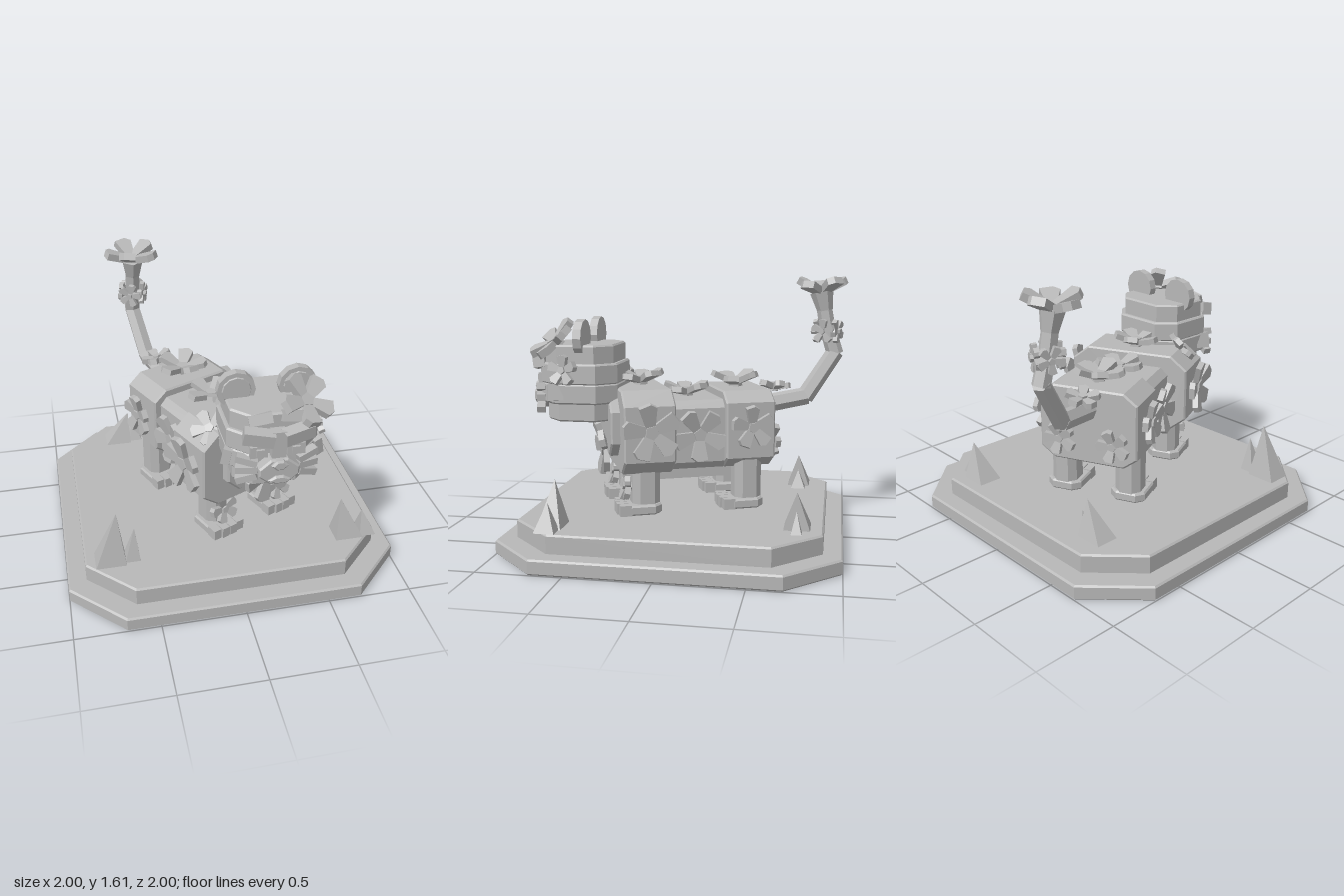
import * as THREE from 'three';

const stone = new THREE.MeshStandardMaterial({ color: 0xb8b8b8 });
stone.name = 'stone';

function add(parent, name, geo, pos = [0, 0, 0], rot = [0, 0, 0]) {
  const g = geo.index ? geo.toNonIndexed() : geo;
  g.computeVertexNormals(); // flat facets
  const m = new THREE.Mesh(g, stone);
  m.name = name;
  m.position.set(...pos);
  m.rotation.set(...rot);
  parent.add(m);
  return m;
}
const box = (w, h, d) => new THREE.BoxGeometry(w, h, d);

// Rectangle with cut corners, extruded along z and centred
function prism(w, h, cx, cy, depth, bevel = 0.01) {
  const a = w / 2 - bevel, b = h / 2 - bevel;
  const s = new THREE.Shape([[a, -b + cy], [a, b - cy], [a - cx, b], [-a + cx, b], [-a, b - cy],
    [-a, -b + cy], [-a + cx, -b], [a - cx, -b]].map(p => new THREE.Vector2(...p)));
  const g = new THREE.ExtrudeGeometry(s, { depth: depth - 2 * bevel, bevelEnabled: true,
    bevelSize: bevel, bevelThickness: bevel, bevelSegments: 1 });
  return g.translate(0, 0, bevel - depth / 2);
}
// The same, standing between two heights
const slab = (w, d, c, y0, y1, bevel = 0.01) =>
  prism(w, d, c, c, y1 - y0, bevel).rotateX(-Math.PI / 2).translate(0, (y0 + y1) / 2, 0);

// Five raised wedge petals around a pentagonal heart, facing a normal
function flower(parent, name, pos, normal, r, spin = 0, tilt = 0.22, thick = 0.035) {
  const f = new THREE.Group();
  f.name = name;
  f.position.set(...pos);
  f.quaternion.setFromUnitVectors(new THREE.Vector3(0, 0, 1), new THREE.Vector3(...normal).normalize());
  parent.add(f);
  const s = new THREE.Shape([[-0.15, 0.2], [0.15, 0.2], [0.31, 0.85], [0.12, 1], [-0.27, 0.93]]
    .map(([x, y]) => new THREE.Vector2(x * r, y * r)));
  for (let i = 0; i < 5; i++) {
    const p = new THREE.Group();
    p.rotation.z = spin + i * Math.PI * 0.4;
    f.add(p);
    add(p, 'petal', new THREE.ExtrudeGeometry(s, { depth: thick, bevelEnabled: false }),
      [0, 0, -0.01], [tilt * (i % 2 ? 0.8 : 1.2), 0, 0]);
  }
  add(f, 'flowerHeart', new THREE.CylinderGeometry(r * 0.24, r * 0.28, thick + 0.02, 5).rotateX(Math.PI / 2),
    [0, 0, 0.015], [0, 0, spin]);
  return f;
}

// Straight bar between two points
function bar(parent, name, a, b, r0, r1) {
  const A = new THREE.Vector3(...a), B = new THREE.Vector3(...b), d = B.clone().sub(A);
  const m = add(parent, name, new THREE.CylinderGeometry(r1, r0, d.length() + 0.02, 6));
  m.position.copy(A).add(B).multiplyScalar(0.5);
  m.quaternion.setFromUnitVectors(new THREE.Vector3(0, 1, 0), d.normalize());
}

// Four-sided spike with a leaning tip
function spike(parent, x, z, w, d, h, lean) {
  const g = new THREE.ConeGeometry(Math.SQRT1_2, h, 4).rotateY(Math.PI / 4).scale(w, 1, d);
  const p = g.attributes.position;
  for (let i = 0; i < p.count; i++) p.setX(i, p.getX(i) + lean * (p.getY(i) / h + 0.5));
  add(parent, 'spike', g, [x, 0.2 + h / 2, z]);
}

function buildBase(root) {
  add(root, 'lowerPlinth', slab(2, 2, 0.3, 0, 0.09));
  add(root, 'upperPlinth', slab(1.78, 1.78, 0.26, 0.08, 0.2));
  [[-0.74, 0.6, 0.18, 0.15, 0.33, 0.05], [-0.61, 0.6, 0.09, 0.1, 0.21, 0.02],
    [0.71, 0.64, 0.17, 0.14, 0.26, -0.05], [0.83, 0.64, 0.1, 0.12, 0.16, -0.03],
    [0.49, -0.74, 0.17, 0.15, 0.22, 0.08], [0.62, -0.74, 0.07, 0.06, 0.12, -0.02],
    [-0.55, -0.7, 0.17, 0.14, 0.21, 0.08], [-0.43, -0.7, 0.09, 0.09, 0.12, 0]]
    .forEach(s => spike(root, ...s));
}

function buildBody(root) {
  const body = new THREE.Group();
  body.name = 'body';
  body.rotation.y = 0.42;
  root.add(body);
  add(body, 'hips', prism(0.62, 0.47, 0.08, 0.06, 0.31), [0, 0.685, -0.34]);
  add(body, 'shoulders', prism(0.78, 0.5, 0.1, 0.08, 0.31), [0, 0.7, 0.3]);
  add(body, 'torso', prism(0.53, 0.42, 0.04, 0.04, 0.5), [0, 0.66, 0]);
  add(body, 'belly', box(0.34, 0.1, 0.5), [0, 0.43, 0]);
  add(body, 'chest', prism(0.5, 0.36, 0.08, 0.08, 0.1), [0, 0.72, 0.46]);
  // Legs, paws and toes
  for (const sx of [-1, 1]) for (const z of [-0.34, 0.3]) {
    const leg = new THREE.Group();
    leg.name = z > 0 ? 'frontLeg' : 'hindLeg';
    leg.position.set(sx * 0.21, 0, z);
    body.add(leg);
    add(leg, 'shin', slab(0.16, 0.17, 0.035, 0.24, 0.55));
    add(leg, 'paw', slab(0.22, 0.24, 0.04, 0.2, 0.26), [0, 0, 0.03]);
    for (let i = -1.5; i < 2; i++)
      add(leg, 'toe', box(0.05, 0.065, 0.07), [i * 0.056, 0.2325, 0.15 - Math.abs(i) * 0.01]);
    if (z > 0) flower(leg, 'legFlower', [0, 0.36, 0.095], [0, 0.15, 1], 0.1, 0.3);
  }
  // Flowers over back, flanks, chest and rump
  flower(body, 'hipTopFlower', [0, 0.93, -0.33], [0, 1, 0], 0.17, 0.5, 0.35);
  flower(body, 'spineFlower', [0, 0.88, -0.01], [0, 1, 0], 0.16, 0.2, 0.3);
  flower(body, 'shoulderTopFlower', [0, 0.96, 0.28], [0, 1, 0], 0.16, 0.1, 0.35);
  for (const s of [-1, 1]) {
    flower(body, 'shoulderSideFlower', [s * 0.4, 0.72, 0.3], [s, 0, 0], 0.18, 0.2, 0.2);
    flower(body, 'flankFlower', [s * 0.275, 0.67, -0.02], [s, 0, 0], 0.17, 0.6, 0.2);
    flower(body, 'hipSideFlower', [s * 0.32, 0.71, -0.34], [s, 0, 0], 0.14, 0.1, 0.2);
    flower(body, 'rumpFlower', [s * 0.17, 0.6, -0.505], [0, 0, -1], 0.11, 0.4);
  }
  flower(body, 'chestFlower', [0.04, 0.57, 0.5], [0, -0.1, 1], 0.18, 0.3, 0.2);
  flower(body, 'neckFlower', [-0.27, 0.93, 0.36], [-0.6, 0.7, 0.4], 0.12, 0.3);
}

function buildTail(root) {
  const tail = new THREE.Group();
  tail.name = 'tail';
  root.add(tail);
  const pts = [[-0.2, 0.79, -0.45], [-0.31, 0.84, -0.74], [-0.375, 1.12, -0.92],
    [-0.37, 1.28, -0.87], [-0.37, 1.5, -0.83]];
  for (let i = 0; i < 4; i++) bar(tail, 'tailSegment', pts[i], pts[i + 1], 0.06 - i * 0.003, 0.057 - i * 0.003);
  flower(tail, 'tailBaseFlower', [-0.26, 0.89, -0.54], [-0.2, 1, -0.1], 0.11, 0.4);
  // Band of small flowers around the tail
  for (let i = 0; i < 4; i++) {
    const a = i * Math.PI / 2 + 0.4, n = [Math.cos(a), 0, Math.sin(a)];
    flower(tail, 'tailBandFlower', [-0.37 + n[0] * 0.055, 1.26, -0.87 + n[2] * 0.055], n, 0.08, i, 0.1, 0.03);
  }
  bar(tail, 'tailTip', [-0.37, 1.4, -0.85], [-0.37, 1.5, -0.83], 0.05, 0.075);
  flower(tail, 'tailBloom', [-0.37, 1.49, -0.83], [0, 1, 0], 0.19, 0.35, 0.4, 0.045);
}

function buildHead(root) {
  const head = new THREE.Group();
  head.name = 'head';
  head.position.set(0.19, 0, 0.58);
  root.add(head);
  add(head, 'jaw', slab(0.44, 0.41, 0.09, 0.75, 0.87));
  add(head, 'cheeks', slab(0.52, 0.47, 0.1, 0.86, 0.98));
  add(head, 'temples', slab(0.52, 0.47, 0.1, 0.975, 1.1));
  add(head, 'crown', slab(0.48, 0.42, 0.09, 1.09, 1.21));
  // Nose, muzzle and mouth
  add(head, 'noseBridge', box(0.08, 0.16, 0.06), [0, 1.05, 0.25]);
  add(head, 'muzzle', prism(0.23, 0.16, 0.06, 0.05, 0.1), [0, 0.89, 0.25]);
  add(head, 'nose', prism(0.09, 0.06, 0.02, 0.02, 0.04), [0, 0.94, 0.3]);
  add(head, 'mouth', prism(0.12, 0.05, 0.03, 0.015, 0.03), [0, 0.845, 0.3]);
  for (const s of [-1, 1]) {
    // Ears
    add(head, 'ear', new THREE.CylinderGeometry(0.11, 0.11, 0.05, 12).rotateX(Math.PI / 2),
      [s * 0.175, 1.25, -0.025]);
    add(head, 'innerEar', new THREE.CylinderGeometry(0.08, 0.085, 0.01, 12).rotateX(Math.PI / 2),
      [s * 0.175, 1.25, 0.003]);
    // Brows, eyes and whisker plates
    add(head, 'brow', box(0.17, 0.08, 0.07), [s * 0.11, 1.1, 0.255], [0.15, s * 0.2, s * 0.12]);
    add(head, 'foreheadTuft', box(0.13, 0.06, 0.06), [s * 0.09, 1.18, 0.2], [-0.4, s * 0.15, s * -0.12]);
    add(head, 'eyeSocket', box(0.1, 0.07, 0.03), [s * 0.105, 1.0, 0.24]);
    add(head, 'eye', box(0.045, 0.045, 0.02), [s * 0.1, 1.0, 0.26]);
    for (let i = 0; i < 3; i++)
      add(head, 'whiskerPlate', box(0.12, 0.04, 0.05), [s * 0.17, 0.95 - i * 0.055, 0.235],
        [0, s * 0.3, s * (0.25 - i * 0.3)]);
    add(head, 'cheekTuft', box(0.05, 0.1, 0.09), [s * 0.25, 0.93, 0.12], [0, s * 0.4, s * 0.2]);
  }
  // Blossoms by the left ear
  flower(head, 'browFlower', [0.17, 1.21, 0.13], [0.35, 0.75, 0.55], 0.17, 0.4, 0.2, 0.045);
  flower(head, 'templeFlower', [0.26, 1.06, 0.06], [1, 0.2, 0.2], 0.1, 0.2);
}

export function createModel() {
  const root = new THREE.Group();
  root.name = 'flowerBeastStatue';
  buildBase(root);
  buildBody(root);
  buildTail(root);
  buildHead(root);
  return root;
}
